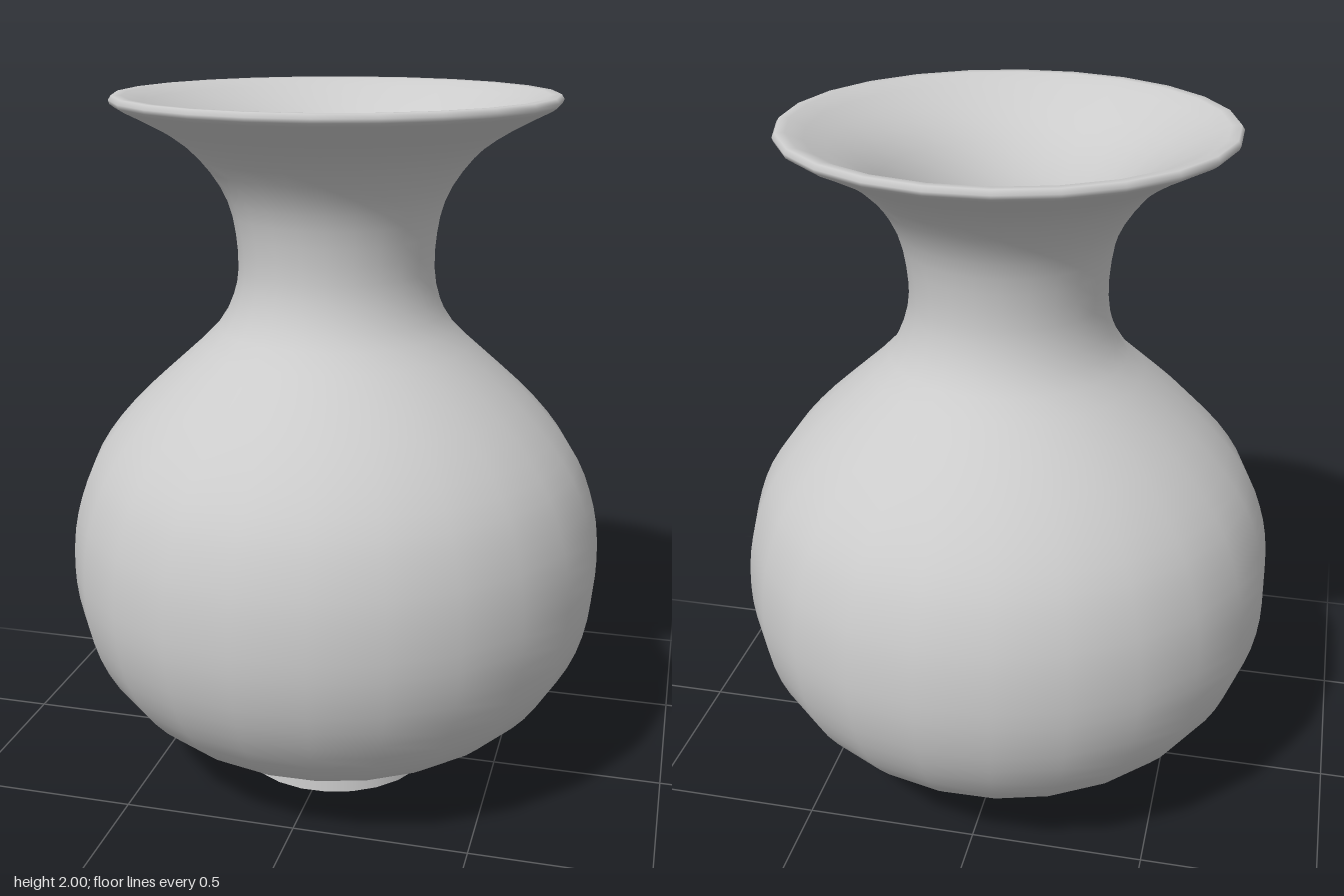
import * as THREE from 'three';

const SIDES = 24;
const TURN = THREE.MathUtils.degToRad(8.5); // rotation of the facets about the axis
const WALL = 0.036;

// Outer silhouette from the foot to just below the lip: [radius, height]
const OUTLINE = [
  [0.28, 0.09], [0.42, 0.125], [0.53, 0.178], [0.62, 0.25], [0.69, 0.338],
  [0.74, 0.44], [0.768, 0.55], [0.776, 0.655], [0.768, 0.77], [0.744, 0.87],
  [0.705, 0.965], [0.64, 1.06], [0.55, 1.157], [0.44, 1.257], [0.34, 1.352],
  [0.295, 1.435], [0.278, 1.52], [0.283, 1.62], [0.304, 1.71], [0.35, 1.79],
  [0.415, 1.86], [0.5, 1.916], [0.6, 1.967],
];

export function createModel() {
  const group = new THREE.Group();
  const material = new THREE.MeshStandardMaterial({ color: 0xcccccc });

  const add = (name, geometry, y = 0) => {
    const mesh = new THREE.Mesh(geometry, material);
    mesh.name = name;
    mesh.position.y = y;
    group.add(mesh);
    return mesh;
  };

  // Inner wall is the outline moved inwards along its normal
  const curve = new THREE.SplineCurve(OUTLINE.map(([r, y]) => new THREE.Vector2(r, y)));
  const outer = [];
  const inner = [];
  const steps = 44;
  for (let i = 0; i <= steps; i++) {
    const p = curve.getPoint(i / steps);
    const t = curve.getTangent(i / steps);
    outer.push(p);
    inner.unshift(new THREE.Vector2(p.x - t.y * WALL, Math.min(p.y + t.x * WALL, 1.999)));
  }

  // Vase body: up the outside, round the lip and down the inside
  const lip = [[0.614, 1.977], [0.618, 1.988], [0.61, 2.0]].map(([r, y]) => new THREE.Vector2(r, y));
  add('vaseBody', new THREE.LatheGeometry([...outer, ...lip, ...inner], SIDES, TURN));

  // Flat floor inside the bowl
  const floorEdge = inner[inner.length - 1];
  const floor = new THREE.CircleGeometry(floorEdge.x, SIDES);
  floor.rotateX(-Math.PI / 2).rotateY(TURN);
  add('innerFloor', floor, floorEdge.y);

  // Short foot ring with a flat base
  add('foot', new THREE.CylinderGeometry(0.288, 0.294, 0.1, SIDES, 1, false, TURN), 0.05);

  return group;
}
